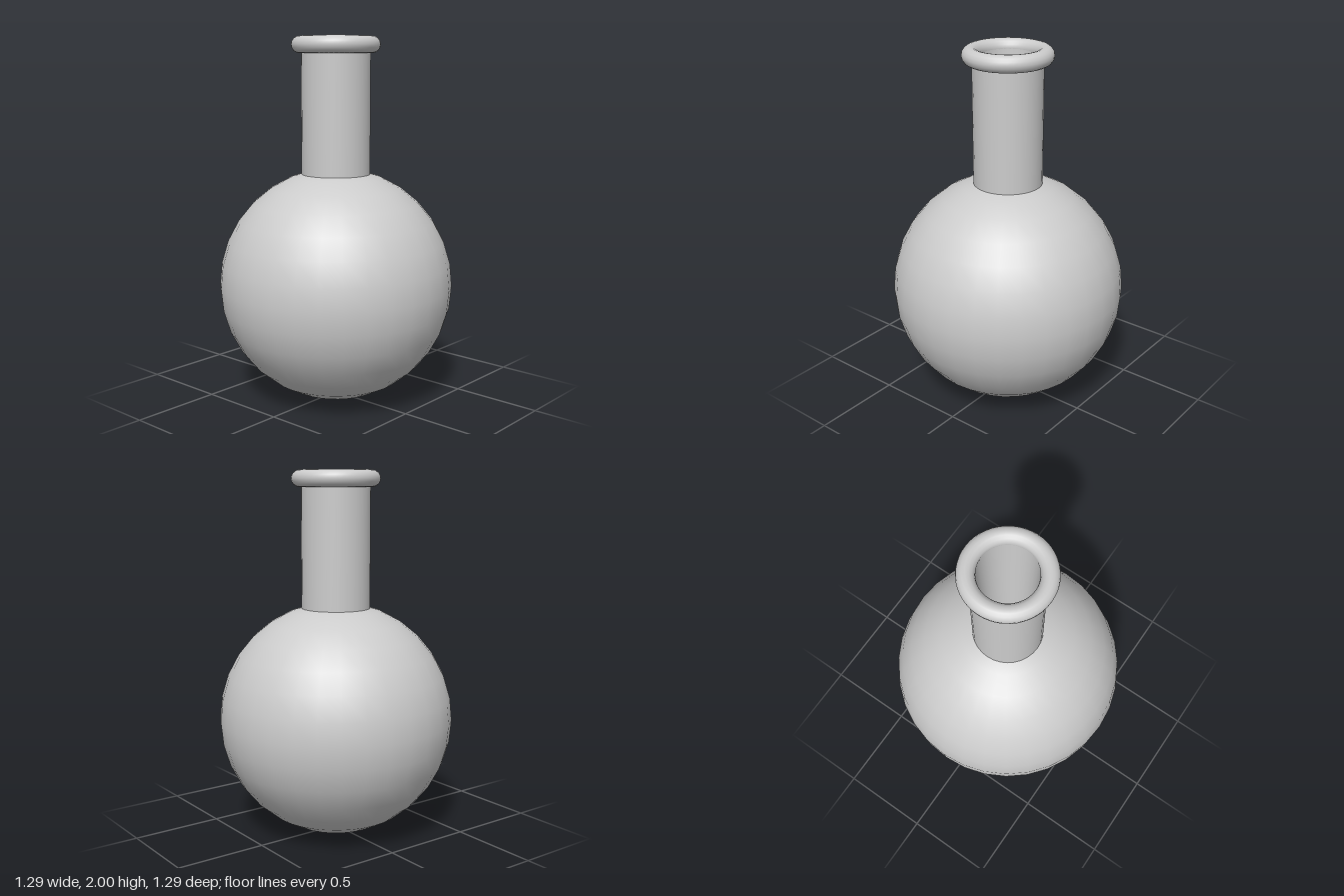
import * as THREE from 'three';

export function createModel() {
  const group = new THREE.Group();
  const outer = new THREE.MeshStandardMaterial({ color: 0xcccccc });
  const inner = new THREE.MeshStandardMaterial({ color: 0xcccccc, side: THREE.DoubleSide });

  const add = (name, geometry, y, material = outer) => {
    const mesh = new THREE.Mesh(geometry, material);
    mesh.name = name;
    mesh.position.y = y;
    group.add(mesh);
  };

  const R = 0.644;          // bulb radius
  const hole = Math.PI / 16; // opening of the bulb under the neck
  const shell = (r) => new THREE.SphereGeometry(r, 32, 15, 0, Math.PI * 2, hole, Math.PI - hole);

  // Round bulb with a thin wall
  add('bulb', shell(R), R);
  add('bulbInside', shell(R - 0.013), R, inner);

  // Hollow neck: straight outside, slightly tapered bore
  add('neck', new THREE.CylinderGeometry(0.188, 0.188, 0.72, 32, 1, true), 1.59);
  add('neckBore', new THREE.CylinderGeometry(0.15, 0.126, 0.68, 32, 1, true), 1.61, inner);

  // Rolled lip
  const lip = new THREE.TorusGeometry(0.195, 0.046, 16, 48);
  lip.rotateX(Math.PI / 2);
  add('lip', lip, 1.954);

  return group;
}
